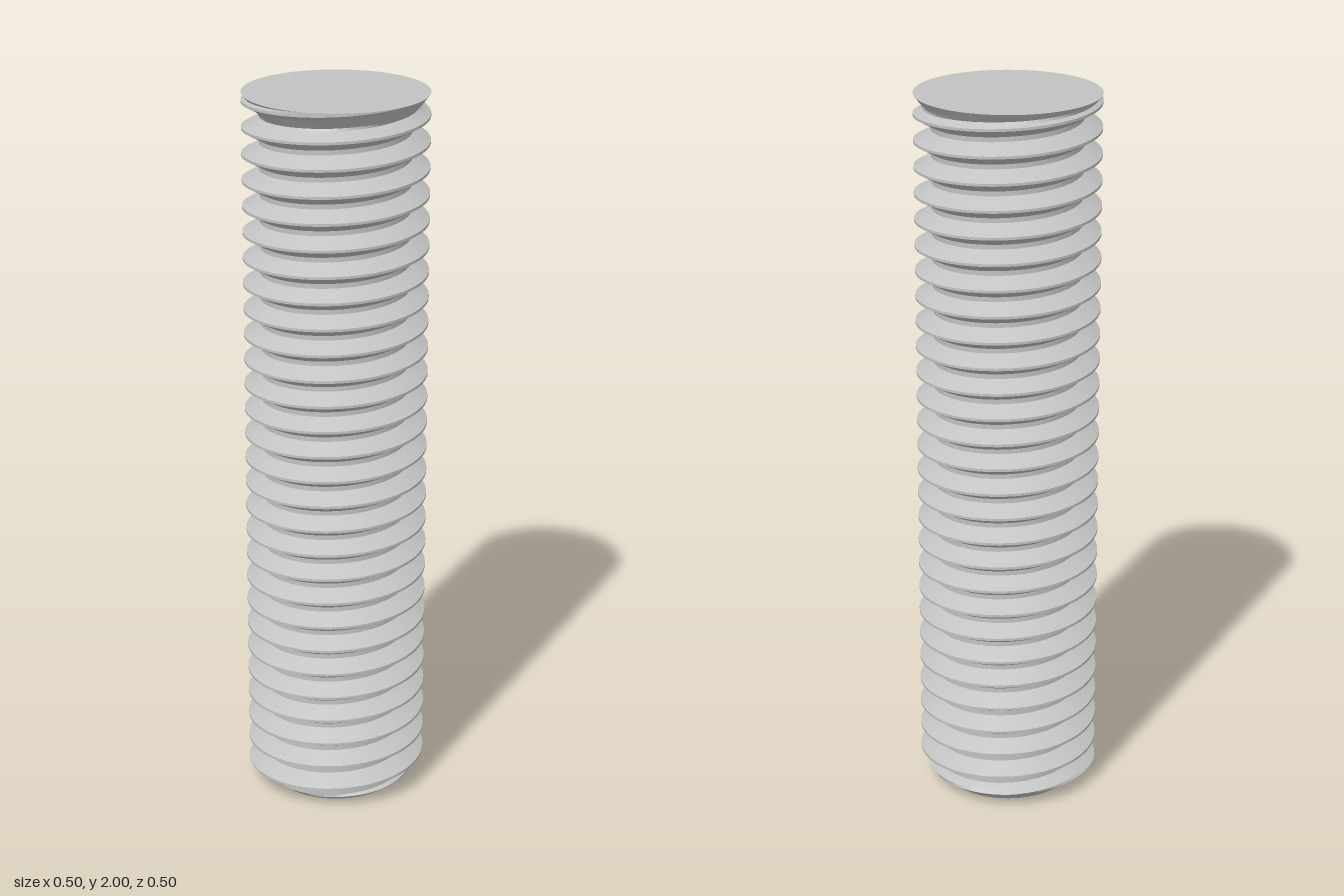
import * as THREE from 'three';
import { toCreasedNormals } from 'three/addons/utils/BufferGeometryUtils.js';

const HEIGHT = 2, CREST = 0.25, ROOT = 0.203, TIP = 0.183;
const PITCH = HEIGHT / 28;
const PHASE = 0.045; // height of a crest on the -x side
const SEGMENTS = 80, SUBDIVISIONS = 4;

// One pitch of the thread: [fraction of pitch, radius]
const PROFILE = [[-0.05, CREST], [0.05, CREST], [0.41, ROOT], [0.59, ROOT], [0.95, CREST]];

// Radius and height steps along the profile, each span subdivided
function profileSteps() {
  const steps = [];
  for (let i = 0; i < PROFILE.length - 1; i++) {
    for (let s = 0; s < SUBDIVISIONS; s++) {
      const t = s / SUBDIVISIONS;
      steps.push(PROFILE[i].map((v, k) => THREE.MathUtils.lerp(v, PROFILE[i + 1][k], t)));
    }
  }
  return steps;
}

// Right-hand helical thread, chamfered at the foot and flared out at the head
function threadGeometry() {
  const steps = profileSteps();
  const rows = [];
  for (let turn = -2; turn <= 29; turn++) {
    for (const [f, r] of steps) rows.push([PHASE + (turn + f) * PITCH, r]);
  }
  const point = (row, seg) => {
    const a = (seg / SEGMENTS) * Math.PI * 2;
    const y = THREE.MathUtils.clamp(row[0] + (seg / SEGMENTS) * PITCH, 0, HEIGHT);
    const flare = CREST - (HEIGHT - y) * 0.8;
    const chamfer = TIP + y * 1.3;
    const r = Math.min(Math.max(row[1], flare), chamfer);
    return new THREE.Vector3(-Math.cos(a) * r, y, Math.sin(a) * r);
  };
  const positions = [];
  const triangle = (a, b, c) => {
    const area = b.clone().sub(a).cross(c.clone().sub(a)).length();
    if (area > 1e-9) positions.push(...a, ...b, ...c);
  };
  for (let i = 0; i < rows.length - 1; i++) {
    for (let s = 0; s < SEGMENTS; s++) {
      const a = point(rows[i], s), b = point(rows[i], s + 1);
      const c = point(rows[i + 1], s + 1), d = point(rows[i + 1], s);
      triangle(a, b, c);
      triangle(a, c, d);
    }
  }
  const geometry = new THREE.BufferGeometry();
  geometry.setAttribute('position', new THREE.Float32BufferAttribute(positions, 3));
  return toCreasedNormals(geometry, 0.45);
}

export function createModel() {
  const steel = new THREE.MeshStandardMaterial({ color: 0xc2c2c2 });
  steel.name = 'steel';
  const group = new THREE.Group();
  group.name = 'threadedRod';

  const add = (name, geometry) => {
    const mesh = new THREE.Mesh(geometry, steel);
    mesh.name = name;
    group.add(mesh);
    return mesh;
  };

  add('thread', threadGeometry());

  // Flat end faces
  const top = add('topFace', new THREE.CircleGeometry(CREST, SEGMENTS));
  top.rotation.x = -Math.PI / 2;
  top.position.y = HEIGHT;
  const bottom = add('bottomFace', new THREE.CircleGeometry(TIP, SEGMENTS));
  bottom.rotation.x = Math.PI / 2;

  return group;
}
